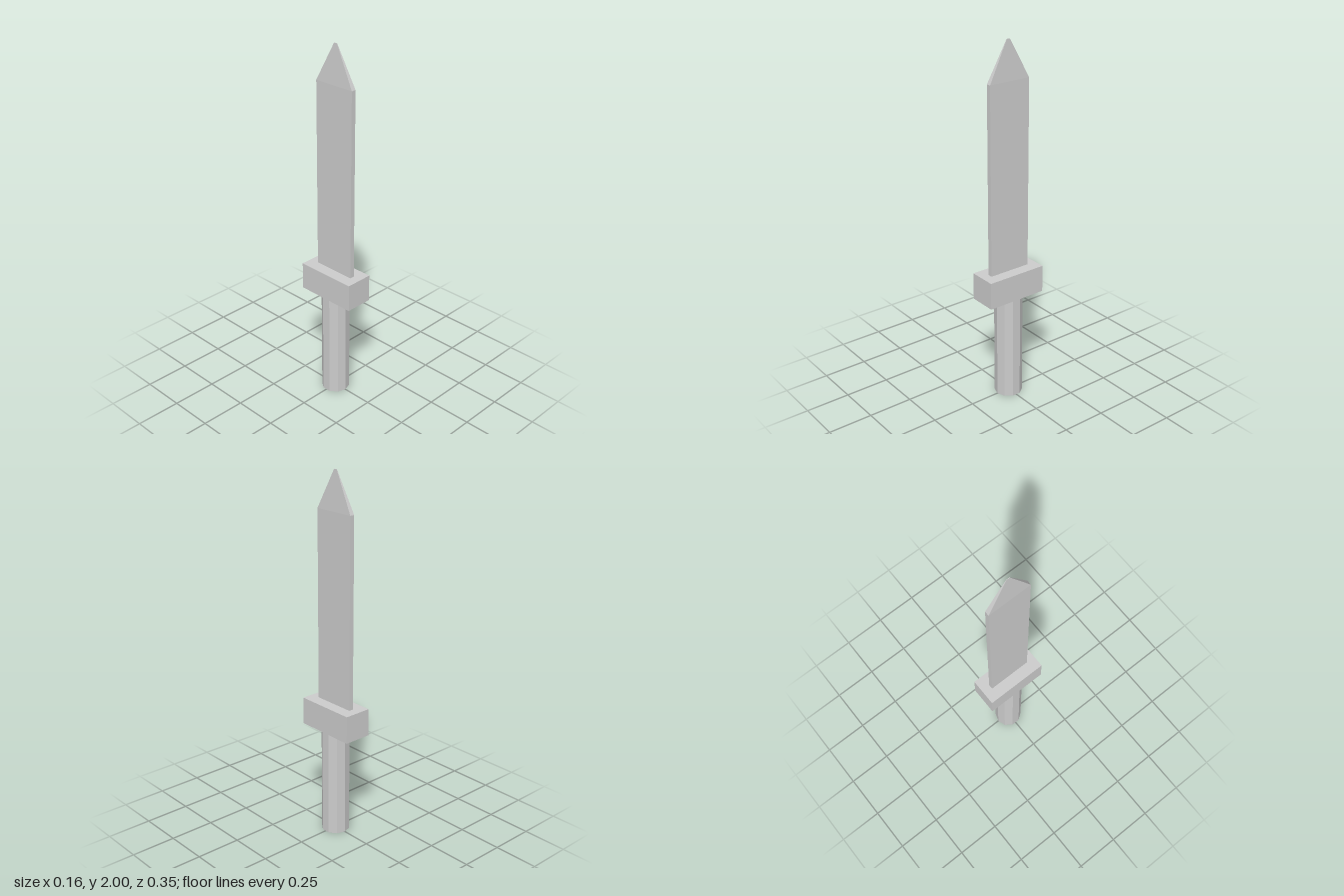
import * as THREE from 'three';

const material = new THREE.MeshStandardMaterial({ color: 0xcccccc, flatShading: true });

function part(name, geometry, y = 0) {
  const mesh = new THREE.Mesh(geometry, material);
  mesh.name = name;
  mesh.position.y = y;
  return mesh;
}

// Flat slab whose top ring is pinched into a narrow point
function bladeGeometry() {
  const bottom = 0.74, shoulder = 1.79, tip = 2;
  const geometry = new THREE.BoxGeometry(0.026, 2, 0.244, 1, 2, 1);
  const p = geometry.attributes.position;
  for (let i = 0; i < p.count; i++) {
    const y = p.getY(i);
    if (y > 0.5) p.setXYZ(i, p.getX(i) * 0.08, tip, p.getZ(i) * 0.08);
    else p.setY(i, y < -0.5 ? bottom : shoulder);
  }
  geometry.computeVertexNormals();
  return geometry;
}

export function createModel() {
  const sword = new THREE.Group();
  sword.name = 'sword';
  sword.add(
    // Ten-sided grip
    part('handle', new THREE.CylinderGeometry(0.077, 0.077, 0.6, 10), 0.3),
    part('guard', new THREE.BoxGeometry(0.156, 0.152, 0.348), 0.676),
    part('blade', bladeGeometry())
  );
  return sword;
}
